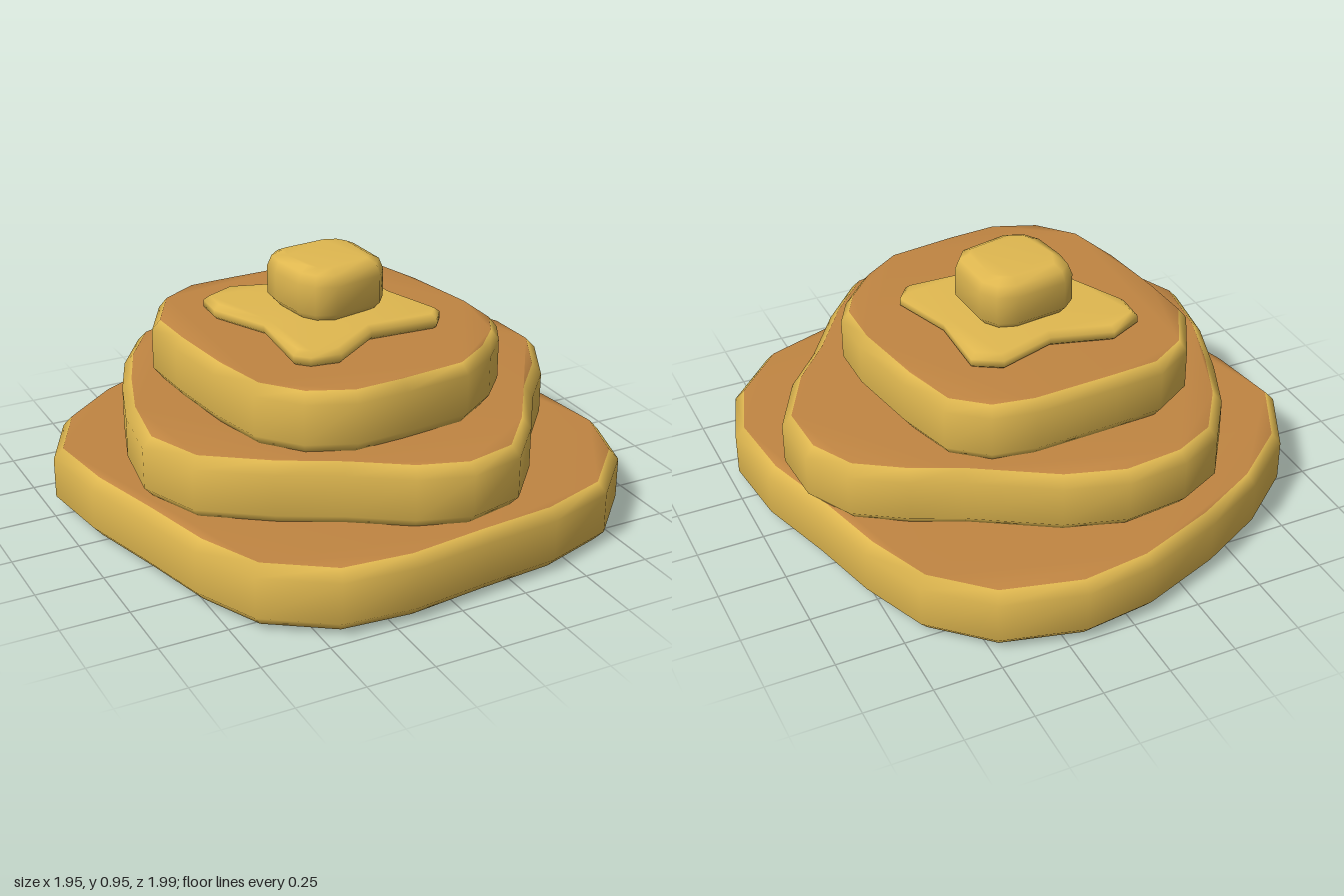
import * as THREE from 'three';

const batter = new THREE.MeshStandardMaterial({ color: 0xe0b850 });
batter.name = 'golden yellow';
const griddled = new THREE.MeshStandardMaterial({ color: 0xc08542 });
griddled.name = 'griddled brown';

// Outlines as [x, z], clockwise seen from above
const bottomOutline = [[.18, -1], [.48, -.92], [.68, -.73], [.78, -.48], [.85, -.21], [.94, .08], [.97, .37], [.89, .62],
  [.69, .83], [.42, .92], [.13, .95], [-.17, .99], [-.44, .97], [-.68, .81], [-.79, .57], [-.86, .29], [-.94, 0],
  [-.98, -.29], [-.85, -.55], [-.63, -.73], [-.38, -.86], [-.08, -.97]];
const middleOutline = [[-.08, -.79], [.14, -.72], [.43, -.54], [.6, -.46], [.78, -.34], [.87, -.17], [.88, .05], [.76, .28],
  [.62, .44], [.47, .66], [.31, .84], [.1, .89], [-.09, .83], [-.29, .7], [-.5, .59], [-.73, .43], [-.82, .21],
  [-.78, -.05], [-.7, -.29], [-.61, -.5], [-.48, -.69], [-.31, -.77]];
const topOutline = [[-.33, -.54], [-.15, -.55], [.16, -.56], [.32, -.53], [.45, -.42], [.51, -.21], [.56, .08], [.56, .27],
  [.5, .38], [.39, .5], [.24, .6], [-.02, .63], [-.21, .64], [-.38, .57], [-.5, .43], [-.55, .21], [-.58, -.05],
  [-.59, -.25], [-.48, -.45]];
const puddleOutline = [[-.25, -.33], [-.03, -.265], [.18, -.33], [.28, -.27], [.275, -.02], [.35, .21], [.3, .275],
  [.04, .265], [-.15, .4], [-.26, .385], [-.305, .34], [-.28, .05], [-.38, -.16], [-.375, -.27]];
const butterOutline = [[-.18, -.13], [-.13, -.175], [.06, -.195], [.135, -.17], [.175, -.11], [.185, .08], [.14, .14],
  [-.05, .18], [-.125, .15], [-.165, .09], [-.185, -.05]];

// Moves every corner inward by d along its mitred normal
function inset(pts, d) {
  const n = pts.length;
  return pts.map((p, i) => {
    const a = pts[(i + n - 1) % n], b = pts[(i + 1) % n];
    const e1 = p.clone().sub(a).normalize(), e2 = b.clone().sub(p).normalize();
    const m = new THREE.Vector2(-e1.y - e2.y, e1.x + e2.x).normalize();
    const c = Math.max(0.6, m.dot(new THREE.Vector2(-e1.y, e1.x)));
    return p.clone().addScaledVector(m, d / c);
  });
}

// Soft-edged slab: rings of [inset, y] joined in loops, capped both ends, smooth normals
function slab(name, outline, rings, topMaterial, tilt = 0) {
  const pts = outline.map(([x, z]) => new THREE.Vector2(x, -z)).reverse();
  const n = pts.length, pos = [], idx = [];
  for (const [d, y] of rings) {
    for (const p of inset(pts, d)) pos.push(p.x, y - tilt * p.x, -p.y);
  }
  for (let r = 0; r < rings.length - 1; r++) {
    for (let i = 0; i < n; i++) {
      const a = r * n + i, b = r * n + (i + 1) % n;
      idx.push(a, b, b + n, a, b + n, a + n);
    }
  }
  const last = (rings.length - 1) * n;
  const bottomFaces = THREE.ShapeUtils.triangulateShape(inset(pts, rings[0][0]), []);
  for (const [a, b, c] of bottomFaces) idx.push(a, c, b);
  const split = idx.length;
  const topFaces = THREE.ShapeUtils.triangulateShape(inset(pts, rings[rings.length - 1][0]), []);
  for (const [a, b, c] of topFaces) idx.push(last + a, last + b, last + c);

  const geo = new THREE.BufferGeometry();
  geo.setAttribute('position', new THREE.Float32BufferAttribute(pos, 3));
  geo.setIndex(idx);
  geo.addGroup(0, split, 0);
  geo.addGroup(split, idx.length - split, 1);
  geo.computeVertexNormals();
  const mesh = new THREE.Mesh(geo, [batter, topMaterial]);
  mesh.name = name;
  return mesh;
}

const bevelled = (y0, y1, b, h = b) => [[b, y0], [0, y0 + h], [0, y1 - h], [b, y1]];

export function createModel() {
  const group = new THREE.Group();
  group.name = 'pancakeStack';
  group.add(
    slab('bottomPancake', bottomOutline, bevelled(0.012, 0.245, 0.035, 0.04), griddled, 0.01),
    slab('middlePancake', middleOutline, bevelled(0.245, 0.477, 0.035, 0.04), griddled, 0.008),
    slab('topPancake', topOutline, bevelled(0.475, 0.703, 0.03, 0.04), griddled, 0.008),
    slab('meltedButter', puddleOutline, bevelled(0.695, 0.757, 0.02, 0.018), batter, 0.008),
    slab('butterPat', butterOutline, [[0.04, 0.74], [0, 0.785], [0, 0.89], [0.015, 0.93], [0.05, 0.948]], batter, 0.005),
  );
  return group;
}
